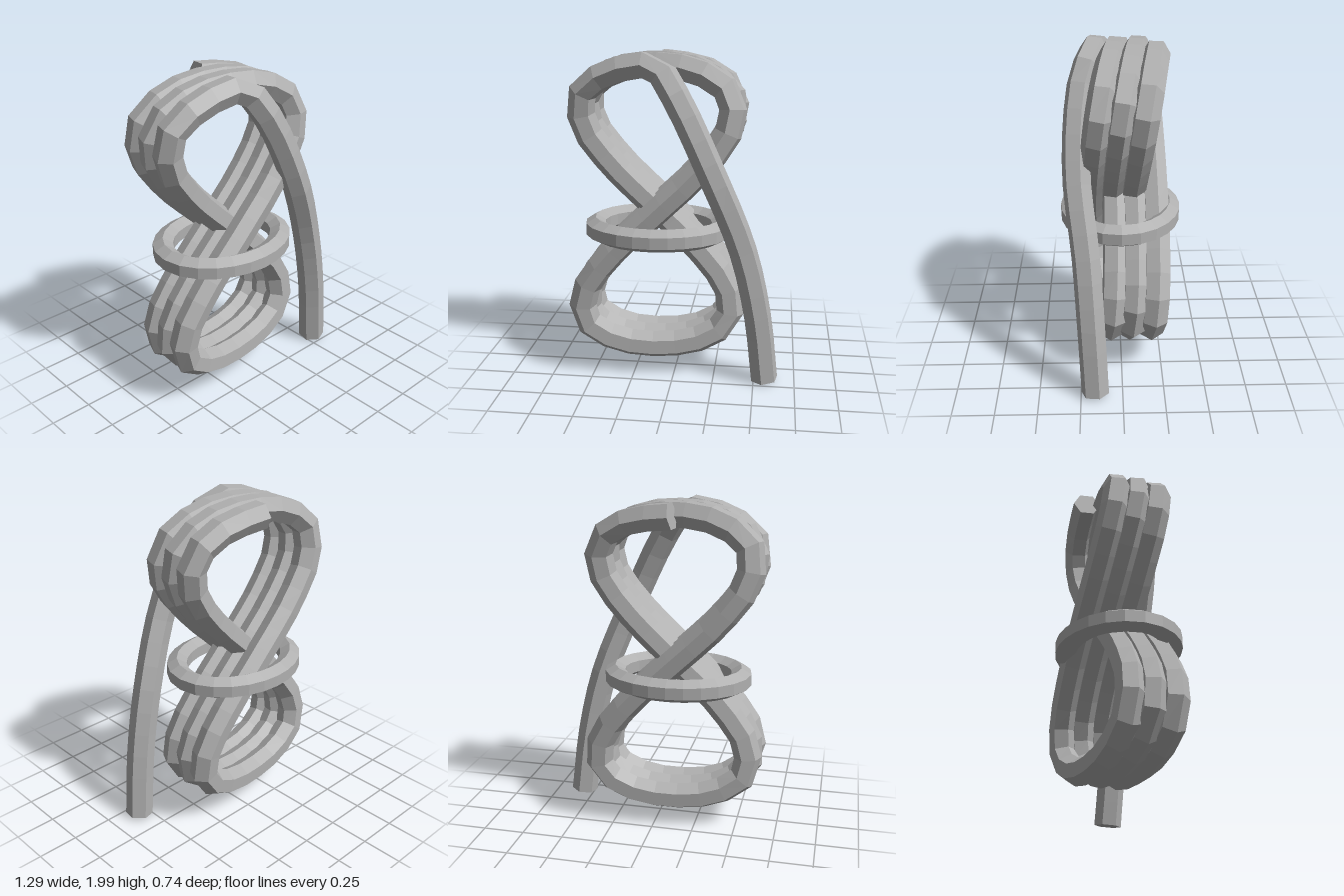
import * as THREE from 'three';
import { mergeGeometries } from 'three/addons/utils/BufferGeometryUtils.js';

const SIDES = 6;

// Flat cap closing one end of a tube, taken from its end ring
function endCap(tube, ring, reversed) {
  const p = tube.attributes.position;
  const corners = [];
  for (let j = 0; j < SIDES; j++) {
    corners.push(new THREE.Vector3().fromBufferAttribute(p, ring * (SIDES + 1) + j));
  }
  if (reversed) corners.reverse();
  const pts = [];
  for (let j = 1; j < SIDES - 1; j++) pts.push(corners[0], corners[j], corners[j + 1]);
  return new THREE.BufferGeometry().setFromPoints(pts);
}

// Faceted hexagonal bar swept along a curve
function hexBar(curve, segments, radius, closed) {
  const tube = new THREE.TubeGeometry(curve, segments, radius, SIDES, closed);
  const parts = [tube.toNonIndexed()];
  parts[0].deleteAttribute('uv');
  parts[0].deleteAttribute('normal');
  if (!closed) parts.push(endCap(tube, 0, false), endCap(tube, segments, true));
  const geometry = mergeGeometries(parts);
  geometry.computeVertexNormals();
  return geometry;
}

export function createModel() {
  const model = new THREE.Group();
  model.name = 'coiledRope';
  const grey = new THREE.MeshStandardMaterial({ color: 0xb0b0b0 });
  grey.name = 'grey';

  const add = (name, geometry) => {
    const mesh = new THREE.Mesh(geometry, grey);
    mesh.name = name;
    model.add(mesh);
  };

  // Rope: three figure-eight turns stepping forward, strands parted at the crossing
  const turns = 3, perTurn = 20, pitch = 0.125;
  const path = [];
  for (let i = 0; i <= turns * perTurn; i++) {
    const t = (i / perTurn) * Math.PI * 2;
    path.push(new THREE.Vector3(
      -0.11 + 0.46 * Math.sin(2 * t),
      1.045 + 0.865 * Math.cos(t),
      -0.21 + (pitch * i) / perTurn + 0.1 * Math.sin(t)
    ));
  }
  // Loose tail falling from the top of the last turn to the ground
  path.push(
    new THREE.Vector3(0.01, 1.77, 0.225),
    new THREE.Vector3(0.23, 1.325, 0.26),
    new THREE.Vector3(0.42, 0.85, 0.21),
    new THREE.Vector3(0.515, 0.44, 0.185),
    new THREE.Vector3(0.567, 0.013, 0.165)
  );
  add('rope', hexBar(new THREE.CatmullRomCurve3(path), 130, 0.084, false));

  // Oval band around the waist of the coil
  const band = [];
  for (let i = 0; i < 24; i++) {
    const a = (i / 24) * Math.PI * 2;
    band.push(new THREE.Vector3(-0.11 + 0.39 * Math.cos(a), 0.92, 0.31 * Math.sin(a)));
  }
  add('waistBand', hexBar(new THREE.CatmullRomCurve3(band, true), 24, 0.07, true));

  return model;
}
